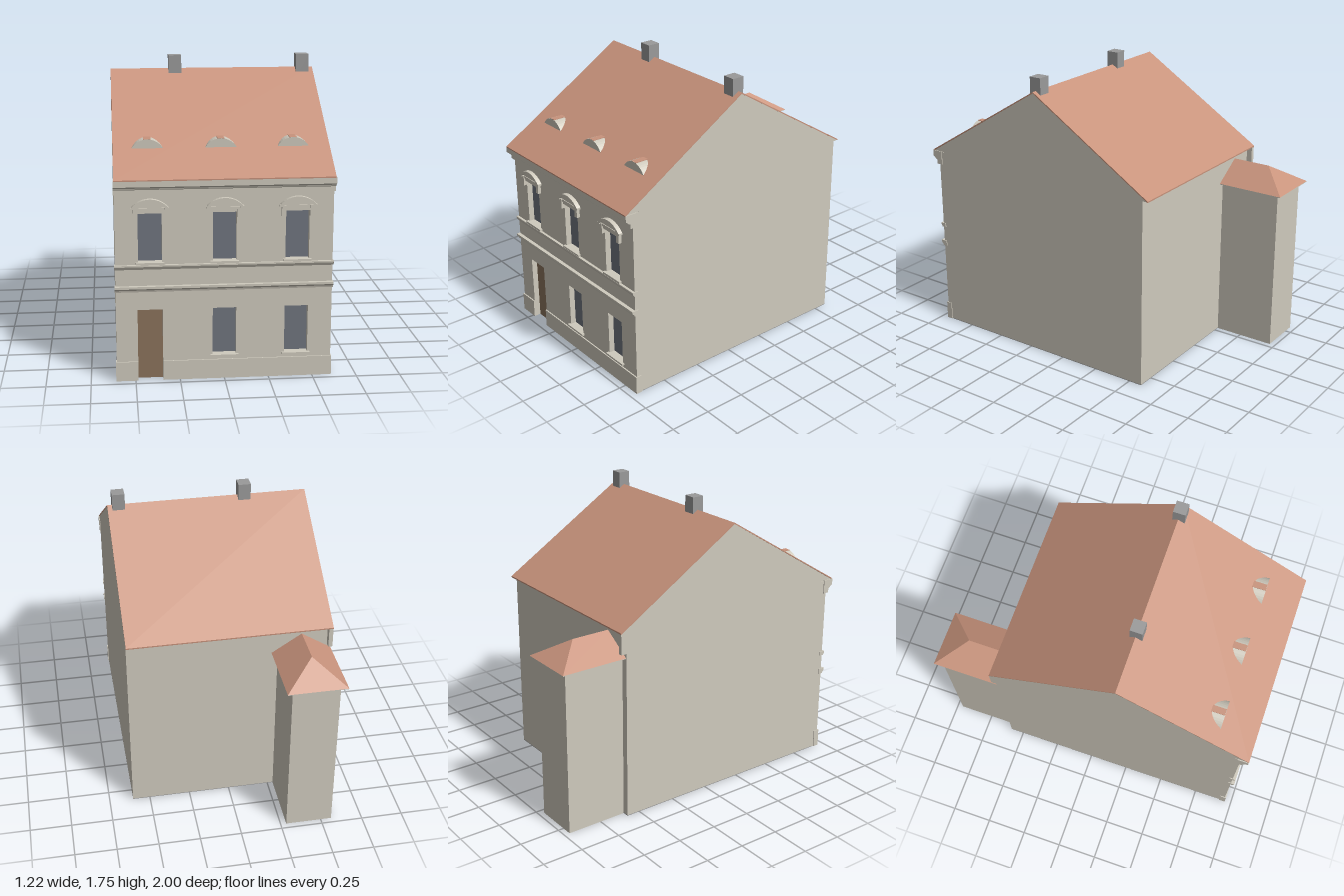
import * as THREE from 'three';

const mat = (name, color, side = THREE.FrontSide) => {
  const m = new THREE.MeshStandardMaterial({ color, side });
  m.name = name;
  return m;
};

export function createModel() {
  const house = new THREE.Group();
  house.name = 'townHouse';
  const plaster = mat('plaster', 0xcfcabd);
  const tile = mat('roofTile', 0xc8937c, THREE.DoubleSide);
  const glass = mat('windowGlass', 0x70757f);
  const wood = mat('doorWood', 0x8b735c);
  const grey = mat('grey', 0x9a9a9a);

  const add = (name, geo, material, parent = house) => {
    const m = new THREE.Mesh(geo, material);
    m.name = name;
    parent.add(m);
    return m;
  };
  // Box from its minimum and maximum corners
  const box = (name, material, x0, x1, y0, y1, z0, z1, parent) =>
    add(name, new THREE.BoxGeometry(x1 - x0, y1 - y0, z1 - z0)
      .translate((x0 + x1) / 2, (y0 + y1) / 2, (z0 + z1) / 2), material, parent);
  const poly = (pts) => new THREE.Shape(pts.map(([x, y]) => new THREE.Vector2(x, y)));
  // Profile of [z, y] points run along x
  const alongX = (name, pts, x0, x1, material) =>
    add(name, new THREE.ExtrudeGeometry(poly(pts.map(([z, y]) => [-z, y])),
      { depth: x1 - x0, bevelEnabled: false }).rotateY(Math.PI / 2).translate(x0, 0, 0), material);
  // Flat shape pushed forward from z0 to z1
  const plate = (name, shape, z0, z1, material, parent) =>
    add(name, new THREE.ExtrudeGeometry(shape, { depth: z1 - z0, bevelEnabled: false, curveSegments: 16 })
      .translate(0, 0, z0), material, parent);
  // Circular segment of half width w and rise h standing on y0
  const arcPoints = (cx, y0, w, h, n = 14) => {
    const r = (w * w + h * h) / (2 * h), a = Math.asin(w / r);
    return Array.from({ length: n + 1 }, (_, i) => {
      const t = a - (2 * a * i) / n;
      return [cx + r * Math.sin(t), y0 + h - r + r * Math.cos(t)];
    });
  };

  const W = 0.605, WALL = 0.95, BACK = -0.585;
  const bays = [-0.412, 0, 0.405];

  // Main volume with gables and rear eave
  alongX('gabledBody', [[BACK, 0.004], [0.91, 0.004], [0.91, 1.16], [0.99, 1.16],
    [0.18, 1.657], [-0.615, 1.163], [BACK, 1.163]], -W, W, plaster);
  box('floorSlab', grey, -W, W, 0, 0.004, BACK, 0.91);

  // Roof skin
  alongX('mainRoof', [[1, 1.163], [0.18, 1.665], [-0.62, 1.168], [-0.62, 1.16],
    [0.18, 1.657], [1, 1.156]], -W - 0.001, W + 0.001, tile);

  // Street wall with a door notch and window openings
  const facade = poly([[-W, 0], [-0.485, 0], [-0.485, 0.415], [-0.345, 0.415],
    [-0.345, 0], [W, 0], [W, 1.158], [-W, 1.158]]);
  const opening = (x, y0, y1) => {
    const h = 0.066;
    facade.holes.push(new THREE.Path([[x - h, y0], [x - h, y1], [x + h, y1], [x + h, y0]]
      .map(([a, b]) => new THREE.Vector2(a, b))));
    const g = new THREE.Group();
    g.name = 'window';
    house.add(g);
    box('windowPane', glass, x - h, x + h, y0, y1, 0.908, 0.915, g);
    box('windowSill', plaster, x - 0.079, x + 0.079, y0 - 0.012, y0, 0.94, 0.967, g);
    return g;
  };

  bays.slice(1).forEach((x) => opening(x, 0.142, 0.415));
  bays.forEach((x) => {
    const g = opening(x, 0.69, 0.968);
    // Hood with lintel, brackets and arched pediment
    box('lintel', plaster, x - 0.08, x + 0.08, 0.968, 0.985, 0.94, 0.96, g);
    box('hoodFrieze', plaster, x - 0.09, x + 0.09, 0.985, 1.0, 0.94, 0.966, g);
    for (const s of [-1, 1]) {
      const c = x + s * 0.079;
      box('hoodBracket', plaster, c - 0.012, c + 0.012, 0.938, 1.0, 0.94, 0.97, g);
      const e = x + s * 0.093;
      box('hoodFoot', plaster, e - 0.011, e + 0.011, 0.994, 1.004, 0.94, 0.976, g);
    }
    plate('pediment', poly(arcPoints(x, 1.0, 0.09, 0.04)), 0.945, 0.962, plaster, g);
    plate('pedimentArch', poly([...arcPoints(x, 1.0, 0.104, 0.05),
      ...arcPoints(x, 1.0, 0.083, 0.036).reverse()]), 0.945, 0.976, plaster, g);
  });
  plate('streetWall', facade, 0.91, WALL, plaster);
  box('door', wood, -0.485, -0.345, 0, 0.415, 0.908, 0.915);

  // Plinth on both sides of the door
  box('plinth', plaster, -0.61, -0.485, 0, 0.112, 0.92, 0.958);
  box('plinth', plaster, -0.345, 0.61, 0, 0.112, 0.92, 0.958);

  // Moulded bands and cornice
  alongX('lowerBand', [[0.93, 0.521], [0.957, 0.521], [0.96, 0.531], [0.972, 0.542],
    [0.972, 0.555], [0.93, 0.555]], -0.61, 0.61, plaster);
  alongX('upperBand', [[0.93, 0.65], [0.957, 0.65], [0.966, 0.667], [0.966, 0.676],
    [0.93, 0.676]], -0.61, 0.61, plaster);
  alongX('cornice', [[0.93, 1.075], [0.968, 1.075], [0.968, 1.102], [0.982, 1.108],
    [0.984, 1.114], [0.999, 1.124], [0.999, 1.16], [0.93, 1.16]], -0.61, 0.61, plaster);

  // Eyebrow dormers with a tiled crown
  [-0.415, -0.005, 0.4].forEach((x) => {
    const g = new THREE.Group();
    g.name = 'dormer';
    house.add(g);
    plate('dormerShell', poly(arcPoints(x, 1.295, 0.088, 0.05)), 0.66, 0.785, plaster, g);
    box('dormerCrown', tile, x - 0.02, x + 0.02, 1.342, 1.346, 0.68, 0.784, g);
  });

  // Chimneys
  [-0.225, 0.54].forEach((x) =>
    box('chimney', grey, x - 0.038, x + 0.038, 1.6, 1.745, 0.145, 0.221));

  // Rear tower, eave board and corner corbel
  box('towerWalls', plaster, -0.565, -0.285, 0, 1.01, -0.965, BACK);
  box('towerSoffit', plaster, -0.6, -0.25, 1.005, 1.01, -0.999, BACK);
  box('cornerCorbel', plaster, -W, -0.58, 1.037, 1.166, -0.619, BACK);

  // Hipped tower roof
  const A = [-0.602, 1.01, -1], B = [-0.248, 1.01, -1], C = [-0.248, 1.01, BACK],
    D = [-0.602, 1.01, BACK], R = [-0.425, 1.126, -0.822], S = [-0.425, 1.126, BACK];
  const hip = new THREE.BufferGeometry();
  hip.setAttribute('position', new THREE.Float32BufferAttribute(
    [A, R, B, B, R, S, B, S, C, A, D, S, A, S, R].flat(), 3));
  hip.computeVertexNormals();
  add('towerRoof', hip, tile);

  return house;
}
